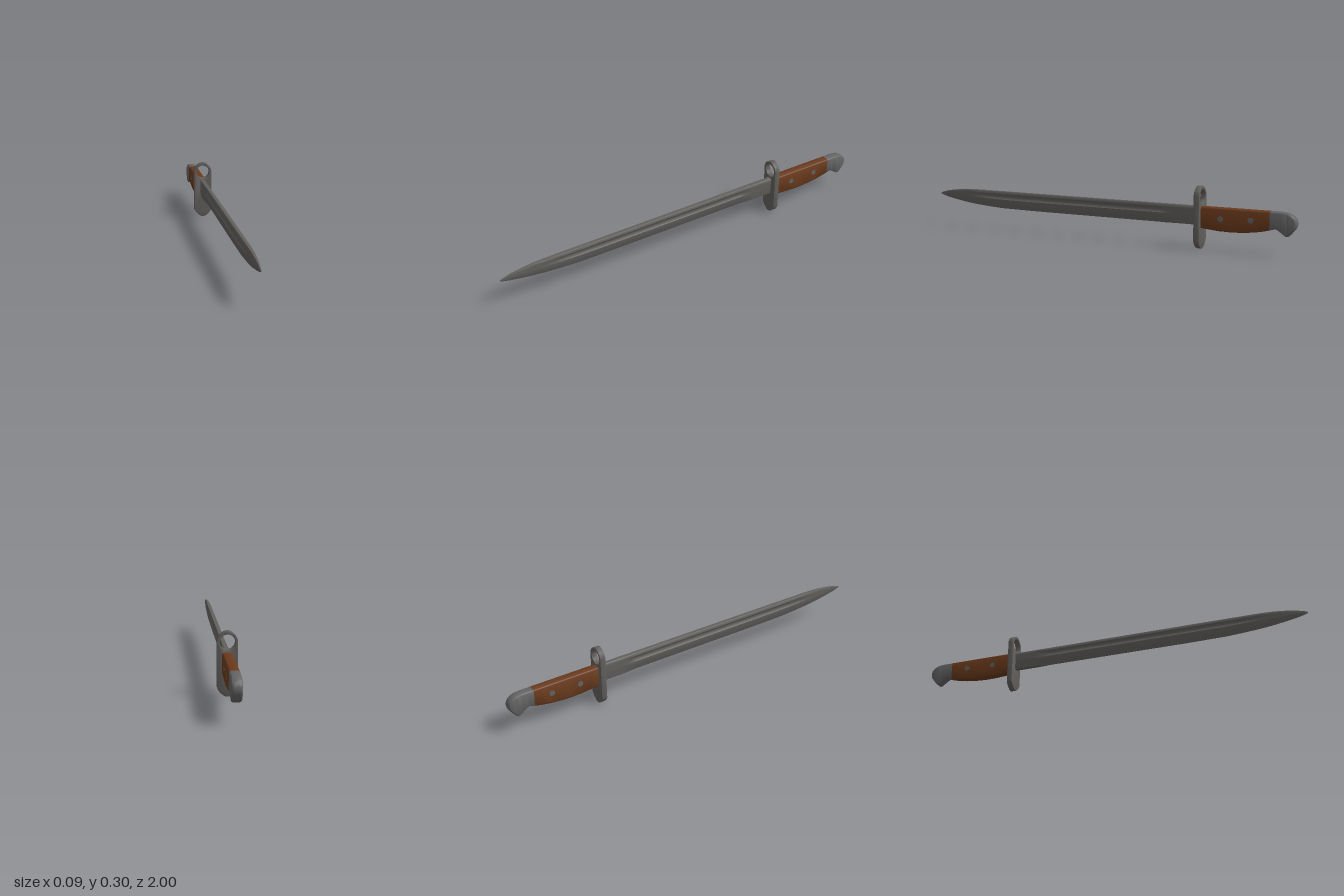
import * as THREE from 'three';
import { toCreasedNormals } from 'three/addons/utils/BufferGeometryUtils.js';

const mat = (name, color) => new THREE.MeshStandardMaterial({ name, color });

// Skin a closed tube through counter-clockwise sections [{z, pts}], listed from back to front.
function loft(sections, crease) {
  const n = sections[0].pts.length, pos = [], idx = [];
  for (const { z, pts } of sections) for (const [x, y] of pts) pos.push(x, y, z);
  for (let i = 0; i < sections.length - 1; i++) {
    for (let j = 0; j < n; j++) {
      const k = (j + 1) % n, a = i * n + j, b = i * n + k;
      idx.push(a, b, b + n, a, b + n, a + n);
    }
  }
  // end caps around a centre point
  for (const end of [0, sections.length - 1]) {
    const { z, pts } = sections[end];
    const centre = pos.length / 3;
    pos.push(0, pts.reduce((s, p) => s + p[1], 0) / n, z);
    for (let j = 0; j < n; j++) {
      const a = end * n + j, b = end * n + (j + 1) % n;
      if (end) idx.push(centre, a, b); else idx.push(centre, b, a);
    }
  }
  const g = new THREE.BufferGeometry();
  g.setAttribute('position', new THREE.Float32BufferAttribute(pos, 3));
  g.setIndex(idx);
  return toCreasedNormals(g, crease);
}

// Rounded rectangle of half width w between bottom and top.
function roundedSection(w, bottom, top, radius) {
  const r = Math.min(radius, w * 0.95, (top - bottom) * 0.48), pts = [];
  const corners = [[w - r, bottom + r, -90], [w - r, top - r, 0], [r - w, top - r, 90], [r - w, bottom + r, 180]];
  for (const [cx, cy, start] of corners) {
    for (let i = 0; i <= 4; i++) {
      const a = THREE.MathUtils.degToRad(start + i * 22.5);
      pts.push([cx + r * Math.cos(a), cy + r * Math.sin(a)]);
    }
  }
  return pts;
}

// Blade section: rounded spine, hollow fuller of the given depth, thin cutting edge.
function bladeSection(w, bottom, top, fuller, edge) {
  const half = [
    [edge, 1], [edge + (1 - edge) * 0.55, 0.8], [0.97, 0.56], [1, 0.48],
    [1 - fuller * 0.7, 0.42], [1 - fuller, 0.32], [1 - fuller * 0.7, 0.22],
    [1, 0.16], [0.92, 0.05], [0.65, 0],
  ].map(([x, t]) => [x * w, top + (bottom - top) * t]);
  return [...half, ...half.slice().reverse().map(([x, y]) => [-x, y])];
}

export function createModel() {
  const model = new THREE.Group();
  model.name = 'bayonet';
  const steel = mat('blade steel', 0x62605d);
  const grey = mat('pommel steel', 0x646464);
  const wood = mat('wood', 0x6a3a1c);
  const add = (name, geometry, material) => {
    const mesh = new THREE.Mesh(geometry, material);
    mesh.name = name;
    model.add(mesh);
    return mesh;
  };

  // Blade stations: z, half width, bottom, top, fuller depth, edge thickness
  const blade = [
    [-0.53, 0.0145, 0.115, 0.205, 0, 0.75],
    [-0.40, 0.0145, 0.115, 0.205, 0, 0.75],
    [-0.36, 0.0140, 0.113, 0.205, 0.2, 0.4],
    [-0.32, 0.0130, 0.113, 0.205, 0.55, 0.12],
    [0.40, 0.0125, 0.113, 0.205, 0.55, 0.12],
    [0.60, 0.0120, 0.115, 0.205, 0.55, 0.12],
    [0.70, 0.0115, 0.121, 0.205, 0.45, 0.12],
    [0.78, 0.0105, 0.128, 0.205, 0.1, 0.12],
    [0.84, 0.0090, 0.135, 0.203, 0, 0.12],
    [0.90, 0.0070, 0.145, 0.197, 0, 0.12],
    [0.95, 0.0050, 0.154, 0.189, 0, 0.12],
    [0.985, 0.0030, 0.163, 0.180, 0, 0.12],
    [1.0, 0.0012, 0.169, 0.174, 0, 0.12],
  ].map(([z, ...s]) => ({ z, pts: bladeSection(...s) }));
  add('blade', loft(blade, 0.6), steel);

  // Crossguard plate with the muzzle ring
  const plate = new THREE.Shape();
  plate.moveTo(0.046, 0.045);
  plate.lineTo(0.046, 0.255);
  plate.bezierCurveTo(0.046, 0.28, 0.017, 0.301, 0, 0.301);
  plate.bezierCurveTo(-0.017, 0.301, -0.046, 0.28, -0.046, 0.255);
  plate.lineTo(-0.046, 0.045);
  plate.bezierCurveTo(-0.046, 0.03, -0.018, 0.001, 0, 0.001);
  plate.bezierCurveTo(0.018, 0.001, 0.046, 0.03, 0.046, 0.045);
  const hole = new THREE.Path();
  hole.absarc(0, 0.251, 0.036, 0, Math.PI * 2, true);
  plate.holes.push(hole);
  const guard = new THREE.ExtrudeGeometry(plate, {
    depth: 0.024, bevelEnabled: true, bevelSize: 0.002, bevelOffset: -0.001,
    bevelThickness: 0.002, bevelSegments: 2, curveSegments: 20,
  });
  guard.translate(0, 0, -0.536);
  add('crossguard', toCreasedNormals(guard, 0.6), steel);

  // Wooden grip with a bellied underside
  const grip = [
    [-0.88, 0.118], [-0.84, 0.108], [-0.80, 0.101], [-0.75, 0.095],
    [-0.69, 0.092], [-0.63, 0.093], [-0.58, 0.097], [-0.53, 0.102],
  ].map(([z, bottom]) => ({ z, pts: roundedSection(0.024, bottom, 0.205, 0.012) }));
  add('grip', loft(grip, 0.7), wood);

  // Hooked pommel: z, half width, bottom, top
  const pommel = [
    [-1.0, 0.017, 0.142, 0.166], [-0.996, 0.021, 0.134, 0.177], [-0.985, 0.0235, 0.119, 0.188],
    [-0.97, 0.024, 0.102, 0.197], [-0.96, 0.024, 0.093, 0.201], [-0.952, 0.024, 0.093, 0.203],
    [-0.93, 0.024, 0.108, 0.205], [-0.91, 0.024, 0.122, 0.205], [-0.90, 0.024, 0.124, 0.205],
    [-0.876, 0.0242, 0.117, 0.2052],
  ].map(([z, w, bottom, top]) => ({ z, pts: roundedSection(w, bottom, top, 0.012) }));
  add('pommel', loft(pommel, 0.7), grey);

  // Grip rivets, passing through to both sides
  for (const [z, y] of [[-0.637, 0.153], [-0.785, 0.157]]) {
    const rivet = add('gripRivet', new THREE.CylinderGeometry(0.014, 0.014, 0.05, 20), grey);
    rivet.rotation.z = Math.PI / 2;
    rivet.position.set(0, y, z);
  }
  return model;
}
